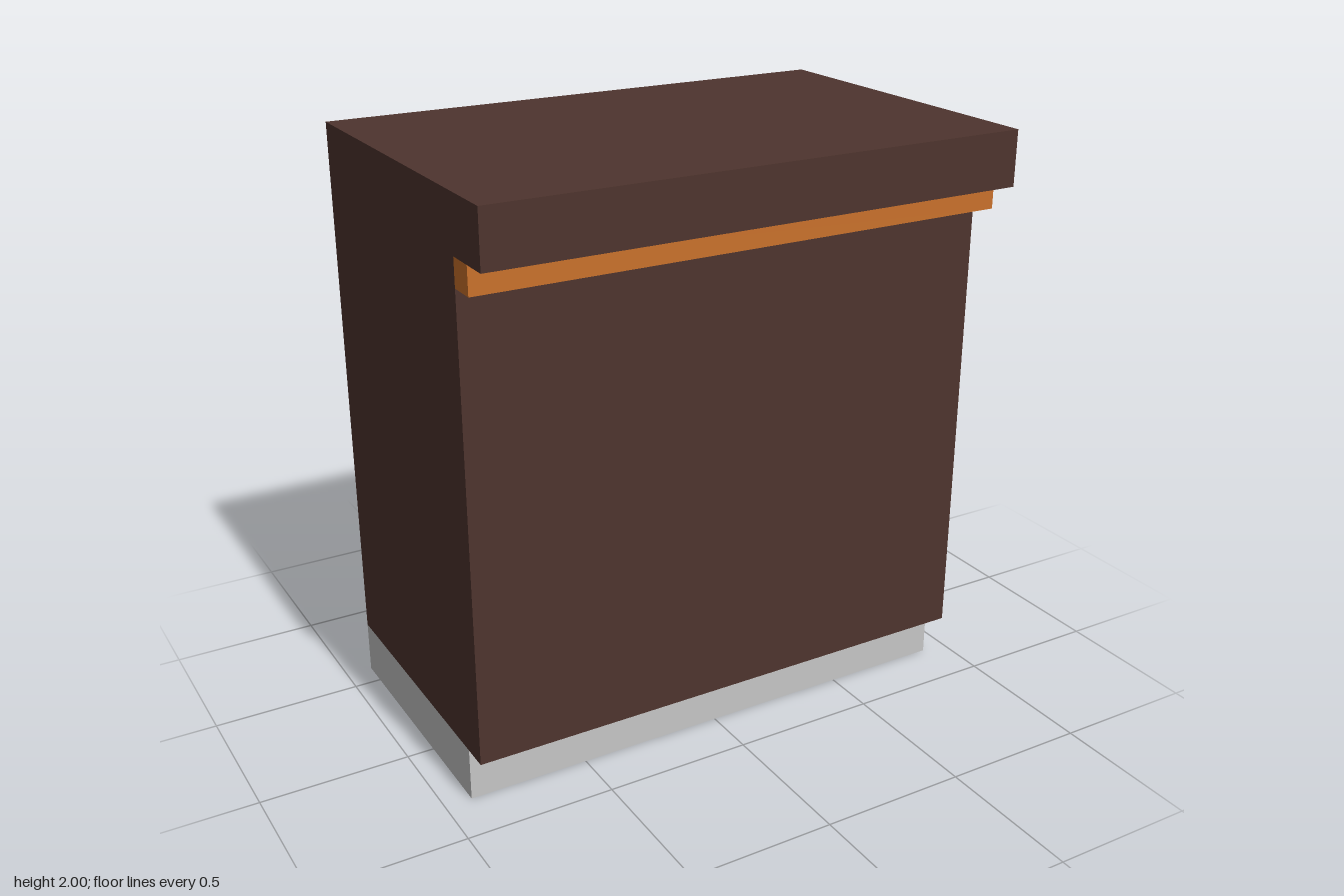
import * as THREE from 'three';
import { mergeGeometries } from 'three/addons/utils/BufferGeometryUtils.js';

const U = 1 / 11;      // design module: the cabinet is 22 modules tall
const W = 10 * U;      // half width
const BACK = -6.5;

// Thin shell: a [z, y] profile swept across the width, closed by two end faces.
// Profile segments listed in "open" are left out.
function shell(name, profile, open, material) {
  const pts = profile.map(([z, y]) => [z * U, y * U]);
  const parts = [];
  for (let i = 0; i < pts.length - 1; i++) {
    if (open.includes(i)) continue;
    const [az, ay] = pts[i], [bz, by] = pts[i + 1];
    const g = new THREE.BufferGeometry();
    g.setAttribute('position', new THREE.Float32BufferAttribute([
      -W, ay, az, -W, by, bz, W, by, bz, W, ay, az], 3));
    g.setIndex([0, 1, 2, 0, 2, 3]);
    g.computeVertexNormals();
    parts.push(g);
  }
  for (const side of [-1, 1]) {
    const shape = new THREE.Shape(pts.map(([z, y]) => new THREE.Vector2(-side * z, y)));
    const g = new THREE.ShapeGeometry(shape);
    g.deleteAttribute('uv');
    g.rotateY(side * Math.PI / 2).translate(side * W, 0, 0);
    parts.push(g);
  }
  const mesh = new THREE.Mesh(mergeGeometries(parts), material);
  mesh.name = name;
  return mesh;
}

export function createModel() {
  const mat = (name, color) =>
    new THREE.MeshStandardMaterial({ name, color, side: THREE.DoubleSide });
  const brown = mat('dark brown', 0x4e342e);
  const orange = mat('orange', 0xc9712b);
  const grey = mat('light grey', 0xc6c6c6);

  const group = new THREE.Group();
  group.name = 'cabinet';

  // Recessed plinth, open above and below
  group.add(shell('plinth', [[BACK, 0], [BACK, 2], [3.5, 2], [3.5, 0]], [1], grey));

  // Hollow body with overhanging counter top and a lip over the plinth
  group.add(shell('body', [
    [BACK, 2], [BACK, 22], [6.5, 22], [6.5, 20], [4.5, 20], [4.5, 2], [3.5, 2],
  ], [], brown));

  // Trim rail tucked under the counter overhang
  group.add(shell('trimRail', [[4.5, 20], [5.5, 20], [5.5, 19], [4.5, 19]], [0], orange));

  return group;
}
